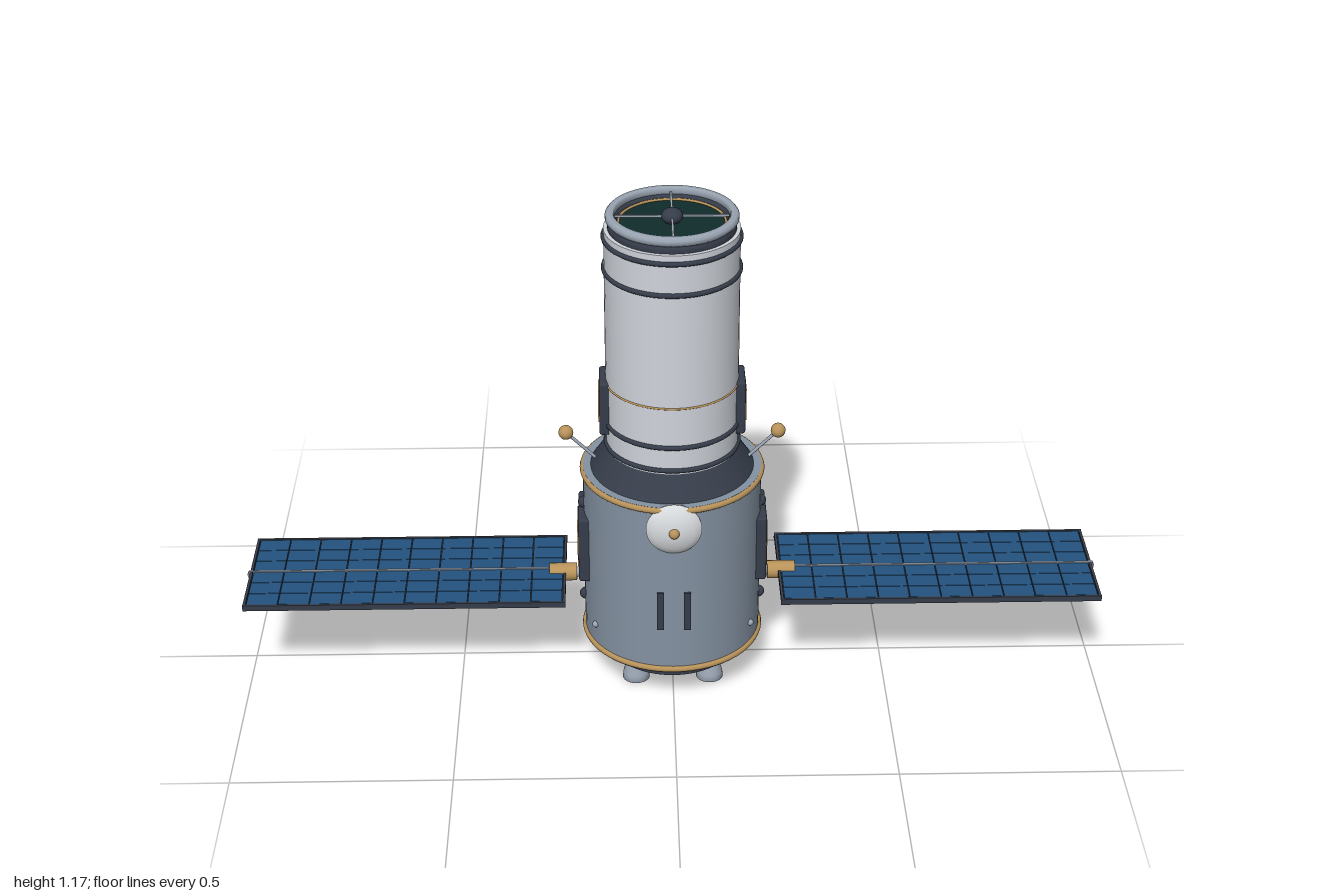
import * as THREE from 'three';
import { RoundedBoxGeometry } from 'three/addons/geometries/RoundedBoxGeometry.js';

const mat = (name, color, side = THREE.FrontSide) => {
  const m = new THREE.MeshStandardMaterial({ color, side });
  m.name = name;
  return m;
};

export function createModel() {
  const shell = mat('light shell', 0xd0d4db);
  const body = mat('blue grey hull', 0x8492a2);
  const dark = mat('dark trim', 0x363d4a);
  const gold = mat('gold foil', 0xb8935a);
  const blue = mat('solar blue', 0x24527f);
  const black = mat('panel backing', 0x20242c);
  const lens = mat('dark green lens', 0x0f2c2b);
  const metal = mat('metal', 0x9aa5b3, THREE.DoubleSide);
  const white = mat('dish white', 0xd9dcdf, THREE.DoubleSide);

  const model = new THREE.Group();
  model.name = 'spaceTelescope';
  const craft = new THREE.Group();
  craft.name = 'craft';
  craft.position.z = 0.0155;
  model.add(craft);

  const add = (name, geo, material, x = 0, y = 0, z = 0, parent = craft) => {
    const m = new THREE.Mesh(geo, material);
    m.name = name;
    m.position.set(x, y, z);
    parent.add(m);
    return m;
  };
  const box = (name, w, h, d, material, x, y, z, parent) =>
    add(name, new THREE.BoxGeometry(w, h, d), material, x, y, z, parent);
  const drum = (name, rTop, rBottom, y0, y1, material) =>
    add(name, new THREE.CylinderGeometry(rTop, rBottom, y1 - y0, 64), material, 0, (y0 + y1) / 2);
  const hoop = (name, r, tube, y, material) => {
    add(name, new THREE.TorusGeometry(r, tube, 10, 64), material, 0, y).rotation.x = Math.PI / 2;
  };
  const ball = (name, r, material, x, y, z) =>
    add(name, new THREE.SphereGeometry(r, 20, 14), material, x, y, z);
  const lathe = (name, pts, material, seg = 64) =>
    add(name, new THREE.LatheGeometry(pts.map(p => new THREE.Vector2(...p)), seg), material);

  // Hull, shoulder and telescope tube
  drum('engineBase', 0.152, 0.152, 0.045, 0.092, dark);
  drum('hull', 0.206, 0.206, 0.09, 0.535, body);
  hoop('lowerGoldRing', 0.205, 0.008, 0.1, gold);
  hoop('upperGoldRing', 0.205, 0.008, 0.527, gold);
  drum('shoulder', 0.15, 0.188, 0.535, 0.592, dark);
  drum('telescopeTube', 0.151, 0.151, 0.588, 1.13, shell);
  for (const y of [0.6, 0.658, 1.035, 1.11]) hoop('tubeRing', 0.151, 0.006, y, dark);
  hoop('goldTubeBand', 0.151, 0.0025, 0.757, gold);

  // Aperture with rim, lens, spider and hub
  drum('collar', 0.142, 0.142, 1.128, 1.138, dark);
  lathe('collarWall', [[0.142, 1.13], [0.142, 1.152], [0.122, 1.152], [0.122, 1.137]], dark);
  lathe('apertureRim', [[0.132, 1.15], [0.142, 1.147], [0.147, 1.153], [0.147, 1.161],
    [0.142, 1.167], [0.13, 1.167], [0.127, 1.162], [0.127, 1.15], [0.132, 1.15]], metal);
  drum('lens', 0.123, 0.123, 1.134, 1.141, lens);
  hoop('lensRing', 0.118, 0.003, 1.143, gold);
  box('spiderBar', 0.25, 0.005, 0.005, metal, 0, 1.156, 0);
  box('spiderBar', 0.005, 0.005, 0.25, metal, 0, 1.156, 0);
  const hub = ball('apertureHub', 0.024, dark, 0, 1.156, 0);
  hub.scale.y = 0.75;

  // Four flared nozzles
  for (const x of [-0.087, 0.087]) for (const z of [-0.087, 0.087]) {
    const n = lathe('nozzle', [[0.027, 0.004], [0.032, 0], [0.03, 0.016], [0.021, 0.046]], metal, 24);
    n.position.set(x, 0, z);
    const throat = add('nozzleThroat', new THREE.CircleGeometry(0.028, 24), dark, x, 0.008, z);
    throat.rotation.x = Math.PI / 2;
  }

  // Vent slots on the front and back of the hull
  for (const s of [-1, 1]) for (const x of [-0.031, 0.031])
    box('ventSlot', 0.016, 0.1, 0.008, dark, x, 0.26, s * 0.204);

  // Front dish with feed
  const dish = lathe('dish', [[0.001, 0], [0.025, 0.003], [0.047, 0.009], [0.063, 0.019],
    [0.063, 0.016], [0.045, 0.003], [0.02, -0.003], [0.001, -0.004]], white, 40);
  dish.rotation.x = -Math.PI / 2;
  dish.position.set(0, 0.48, 0.222);
  ball('dishFeed', 0.012, gold, 0, 0.48, 0.226);
  const neck = add('dishMount', new THREE.CylinderGeometry(0.015, 0.015, 0.03, 16), dark, 0, 0.48, 0.21);
  neck.rotation.x = Math.PI / 2;

  // Rear instrument box with a framed double panel
  add('rearBox', new RoundedBoxGeometry(0.32, 0.176, 0.086, 5, 0.036), dark, 0, 0.413, -0.195);
  box('rearPlate', 0.29, 0.13, 0.02, dark, 0, 0.413, -0.243);
  box('rearPanel', 0.27, 0.115, 0.008, black, 0, 0.413, -0.255);
  for (const s of [-1, 1]) {
    box('rearFrameRail', 0.28, 0.005, 0.012, gold, 0, 0.413 + s * 0.06, -0.255);
    box('rearFrameEnd', 0.005, 0.12, 0.012, gold, s * 0.138, 0.413, -0.255);
  }
  box('rearDivider', 0.004, 0.12, 0.014, gold, 0, 0.413, -0.255);

  // Everything that repeats on both sides
  for (const s of [-1, 1]) {
    add('hullHatch', new RoundedBoxGeometry(0.035, 0.168, 0.138, 2, 0.006), dark, s * 0.201, 0.338, 0);
    box('hullHatchFoil', 0.006, 0.11, 0.09, gold, s * 0.218, 0.338, 0);
    add('tubeHatch', new RoundedBoxGeometry(0.035, 0.132, 0.092, 2, 0.006), dark, s * 0.148, 0.699, 0);
    box('tubeHatchFoil', 0.006, 0.08, 0.055, gold, s * 0.165, 0.699, 0);
    ball('upperSensor', 0.014, dark, s * 0.205, 0.432, 0);
    ball('lowerSensor', 0.014, dark, s * 0.205, 0.18, 0);
    ball('thruster', 0.008, metal, s * 0.181, 0.157, 0.1);
    ball('thruster', 0.008, metal, s * 0.181, 0.157, -0.1);

    // Angled whip antenna
    const a = new THREE.Vector3(s * 0.16, 0.535, 0), b = new THREE.Vector3(s * 0.243, 0.617, 0);
    add('antennaRod', new THREE.TubeGeometry(new THREE.LineCurve3(a, b), 1, 0.004, 8), metal);
    ball('antennaTip', 0.017, gold, b.x, b.y, b.z);

    // Solar wing
    const wing = new THREE.Group();
    wing.name = s > 0 ? 'leftWing' : 'rightWing';
    wing.position.set(0, 0.24, -0.003);
    craft.add(wing);
    const joint = add('wingJoint', new THREE.CylinderGeometry(0.021, 0.021, 0.065, 20), gold, s * 0.257, 0, 0.003, wing);
    const shaft = add('wingShaft', new THREE.CylinderGeometry(0.012, 0.012, 0.06, 16), metal, s * 0.22, 0, 0.003, wing);
    joint.rotation.z = shaft.rotation.z = Math.PI / 2;
    box('wingBacking', 0.742, 0.008, 0.29, black, s * 0.622, 0, 0, wing);
    for (const z of [-1, 1])
      box('wingRail', 0.745, 0.014, 0.006, dark, s * 0.622, 0.001, z * 0.145, wing);
    for (const x of [0.253, 0.991])
      box('wingEnd', 0.006, 0.014, 0.294, dark, s * x, 0.001, 0, wing);
    box('wingSpar', 0.745, 0.005, 0.006, metal, s * 0.625, 0.007, 0, wing);
    box('wingTip', 0.012, 0.01, 0.012, metal, s * 0.994, 0, 0, wing);
    for (const z of [-0.072, 0, 0.072])
      box('undersideRib', 0.735, 0.005, 0.004, z ? gold : metal, s * 0.622, -0.005, z, wing);
    const cols = 10, rows = 6, cw = 0.73 / cols, cd = 0.282 / rows;
    for (let i = 0; i < cols; i++) for (let j = 0; j < rows; j++)
      box('solarCell', cw - 0.002, 0.004, cd - 0.002, blue,
        s * (0.257 + cw * (i + 0.5)), 0.005, -0.141 + cd * (j + 0.5), wing);
  }
  return model;
}
